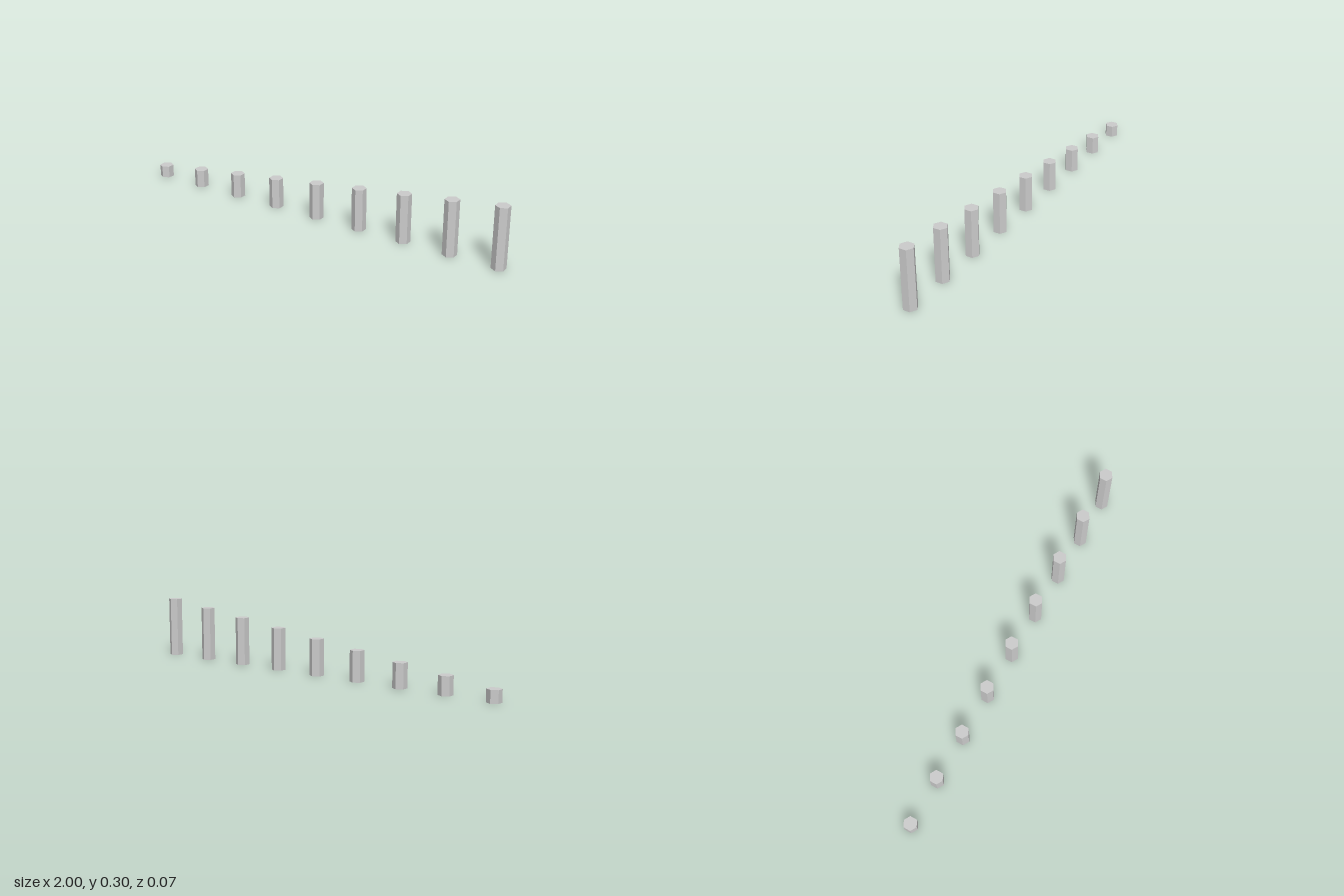
import * as THREE from 'three';

// Row of nine hexagonal posts, each one step taller than the last
export function createModel() {
  const group = new THREE.Group();
  group.name = 'hexPostRow';
  const material = new THREE.MeshStandardMaterial({ color: 0xcccccc, flatShading: true });

  const count = 9;
  const unit = 1 / 33; // distance from a post's axis to its flat side
  const radius = unit / Math.cos(Math.PI / 6);
  const spacing = 8 * unit;

  for (let i = 0; i < count; i++) {
    const height = (i + 2) * unit;
    // Corners point along z, flat sides face x
    const post = new THREE.Mesh(new THREE.CylinderGeometry(radius, radius, height, 6), material);
    post.name = `hexPost${i + 1}`;
    post.position.set((i - (count - 1) / 2) * spacing, height / 2, 0);
    group.add(post);
  }
  return group;
}
